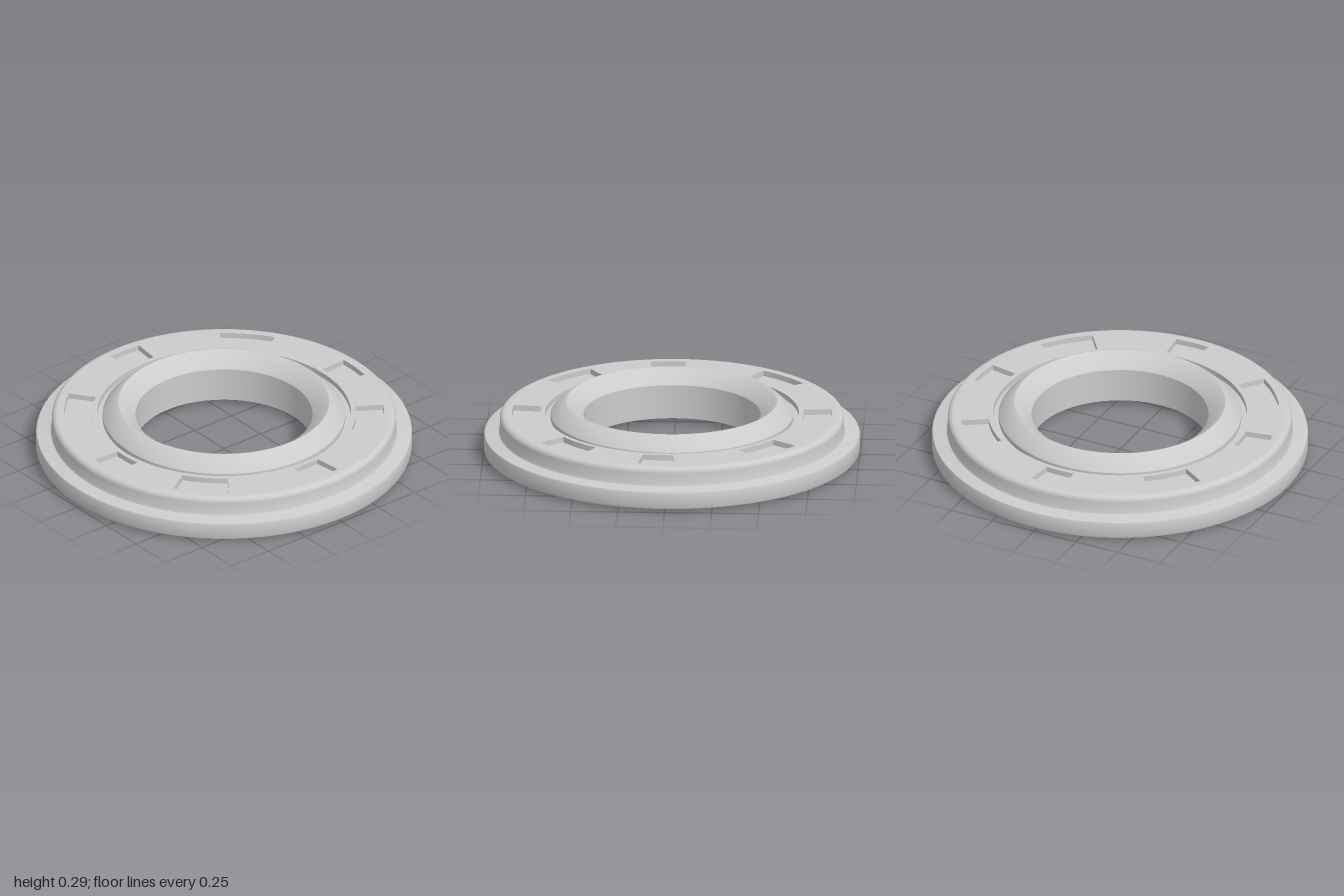
import * as THREE from 'three';
import { toCreasedNormals } from 'three/addons/utils/BufferGeometryUtils.js';

const material = new THREE.MeshStandardMaterial({ color: 0xcccccc });
const DEG = Math.PI / 180;
const SEGMENTS = 128;

// Pocket centre and half width in degrees, counted from +x towards -z
const right = [[0, 6.5], [47, 10], [86.3, 6.5], [132.7, 10], [180, 6.5]];
const pockets = [...right, ...right.slice(1, 4).map(([a, w]) => [-a, w])];

function addMesh(group, name, geometry) {
  const mesh = new THREE.Mesh(toCreasedNormals(geometry, 0.5), material);
  mesh.name = name;
  group.add(mesh);
}

// Closed profile of [radius, height], counter-clockwise
function turned(profile) {
  const points = [...profile, profile[0]].map(([r, y]) => new THREE.Vector2(r, y));
  return new THREE.LatheGeometry(points, SEGMENTS);
}

function arcPoints(r, from, to, n) {
  return Array.from({ length: n + 1 }, (_, i) => {
    const a = (from + (to - from) * i / n) * DEG;
    return new THREE.Vector2(r * Math.cos(a), r * Math.sin(a));
  });
}

// Outline of a ring sector
function sector(r0, r1, centre, half) {
  const a = centre - half, b = centre + half;
  return [...arcPoints(r0, a, b, 8), ...arcPoints(r1, b, a, 8)];
}

// Flat ring between two heights, with optional windows
function ringLayer(inner, outer, y0, y1, windows = []) {
  const shape = new THREE.Shape(arcPoints(outer, 0, 360, SEGMENTS).slice(0, -1));
  shape.holes.push(new THREE.Path(inner), ...windows.map((w) => new THREE.Path(w)));
  const geometry = new THREE.ExtrudeGeometry(shape, { depth: y1 - y0, bevelEnabled: false });
  return geometry.rotateX(-Math.PI / 2).translate(0, y0, 0);
}

const circle = (r) => arcPoints(r, 0, 360, SEGMENTS).slice(0, -1);

export function createModel() {
  const model = new THREE.Group();
  model.name = 'flangedRing';

  // Flange and raised step with a rounded shoulder
  const shoulder = [0, 1, 2, 3, 4, 5, 6].map((i) => {
    const a = i * 15 * DEG;
    return [0.885 + 0.03 * Math.cos(a), 0.19 + 0.03 * Math.sin(a)];
  });
  addMesh(model, 'outerFlange', turned([
    [0.905, 0.015], [0.985, 0.015], [0.996, 0.019], [1, 0.03], [1, 0.1], [0.996, 0.111],
    [0.985, 0.115], [0.93, 0.115], [0.92, 0.119], [0.915, 0.13],
    ...shoulder, [0.87, 0.22], [0.87, 0.14], [0.905, 0.14],
  ]));

  // Central collar: conical lip above, chamfered foot below
  addMesh(model, 'collar', turned([
    [0.47, 0.03], [0.58, 0], [0.605, 0], [0.615, 0.01], [0.615, 0.165],
    [0.645, 0.19], [0.645, 0.215], [0.64, 0.222], [0.57, 0.287], [0.56, 0.29], [0.55, 0.285],
    [0.478, 0.226], [0.47, 0.215],
  ]));

  // Web with shallow pockets on both faces
  const cut = (r0, r1) => pockets.map(([a, w]) => sector(r0, r1, a, w));
  addMesh(model, 'webTop', ringLayer(circle(0.675), 0.87, 0.19, 0.22, cut(0.7, 0.85)));
  addMesh(model, 'webMiddle', ringLayer(circle(0.605), 0.89, 0.165, 0.19));
  addMesh(model, 'webBottom', ringLayer(circle(0.605), 0.905, 0.14, 0.165, cut(0.63, 0.85)));

  // Liner inside the flange, slotted between the pockets
  const slotted = [];
  for (let k = 0; k < 8; k++) {
    slotted.push(...arcPoints(0.88, k * 45 - 7.5, k * 45 + 7.5, 6));
    slotted.push(...arcPoints(0.902, k * 45 + 7.5, k * 45 + 37.5, 12));
  }
  addMesh(model, 'linerLip', ringLayer(circle(0.88), 0.905, 0.015, 0.035));
  addMesh(model, 'linerSlots', ringLayer(slotted, 0.905, 0.035, 0.125));
  addMesh(model, 'linerTop', ringLayer(circle(0.88), 0.905, 0.125, 0.14));

  return model;
}
